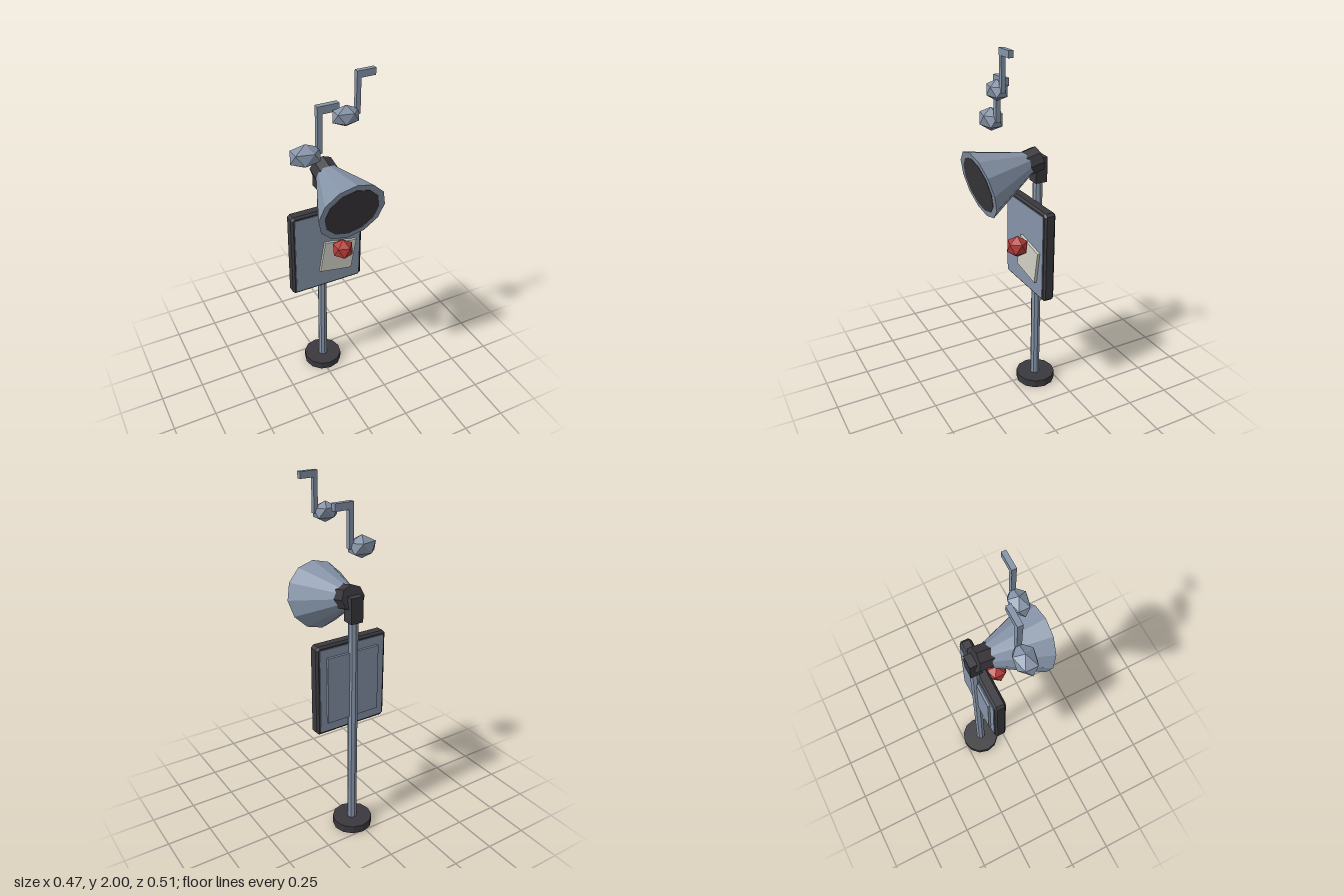
import * as THREE from 'three';
import { ConvexGeometry } from 'three/addons/geometries/ConvexGeometry.js';

const mat = (name, color) => {
  const m = new THREE.MeshStandardMaterial({ color, flatShading: true });
  m.name = name;
  return m;
};

export function createModel() {
  const steel = mat('blue grey steel', 0x8694a8);
  const dark = mat('charcoal', 0x3a383d);
  const red = mat('red', 0xb23c38);
  const paperMat = mat('paper', 0xd0d0c5);

  const model = new THREE.Group();
  model.name = 'noticeBoardWithHorn';
  const CX = 0.021;

  const add = (name, geo, material, x, y, z, parent = model) => {
    const m = new THREE.Mesh(geo, material);
    m.name = name;
    m.position.set(x, y, z);
    parent.add(m);
    return m;
  };
  // box given by its limits
  const box = (name, material, x0, x1, y0, y1, z0, z1, parent) =>
    add(name, new THREE.BoxGeometry(x1 - x0, y1 - y0, z1 - z0), material,
      (x0 + x1) / 2, (y0 + y1) / 2, (z0 + z1) / 2, parent);

  // twenty-sided ball with its poles on y
  const ball = (rx, r) => {
    const pts = [new THREE.Vector3(0, r, 0), new THREE.Vector3(0, -r, 0)];
    for (let i = 0; i < 10; i++) {
      const a = (i * Math.PI) / 5;
      const h = i % 2 ? -0.4472 : 0.4472;
      pts.push(new THREE.Vector3(0.8944 * rx * Math.cos(a), h * r, 0.8944 * r * Math.sin(a)));
    }
    return new ConvexGeometry(pts);
  };

  // base and pole
  add('base', new THREE.CylinderGeometry(0.113, 0.113, 0.045, 12), dark, CX, 0.0225, -0.143);
  add('pole', new THREE.CylinderGeometry(0.027, 0.027, 1.28, 8), steel, CX, 0.68, -0.14);

  // board frame with chamfered edges
  const w = 0.205, h = 0.247, c = 0.008, bevel = 0.011;
  const outline = new THREE.Shape([
    [-w + c, -h], [w - c, -h], [w, -h + c], [w, h - c],
    [w - c, h], [-w + c, h], [-w, h - c], [-w, -h + c],
  ].map(([x, y]) => new THREE.Vector2(x, y)));
  const frameGeo = new THREE.ExtrudeGeometry(outline, {
    depth: 0.043, bevelEnabled: true, bevelSegments: 1, bevelSize: bevel, bevelThickness: bevel,
  });
  add('boardFrame', frameGeo, dark, CX, 0.909, -0.119);
  box('boardPanel', steel, CX - 0.197, CX + 0.197, 0.67, 1.148, -0.134, -0.062);
  box('backPanel', steel, CX - 0.158, CX + 0.158, 0.72, 1.1, -0.147, -0.13);

  // pinned note and its pin
  const note = add('note', new THREE.BoxGeometry(0.197, 0.19, 0.016), paperMat, 0.079, 0.852, -0.055);
  note.rotation.z = -0.17;
  add('pin', ball(0.062, 0.062), red, 0.075, 0.939, 0.012);

  // pole head holding the horn
  box('poleHead', dark, CX - 0.036, CX + 0.036, 1.27, 1.41, -0.177, -0.11);

  // horn, built along +z from its mouth and tilted downward
  const horn = new THREE.Group();
  horn.name = 'horn';
  horn.position.set(CX, 1.309, 0.209);
  horn.rotation.x = 0.25;
  model.add(horn);
  const alongZ = (g, z) => g.rotateX(Math.PI / 2).translate(0, 0, z);
  add('hornCone', alongZ(new THREE.CylinderGeometry(0.187, 0.045, 0.335, 12), -0.1675), steel, 0, 0, 0, horn);
  add('hornMouth', alongZ(new THREE.CylinderGeometry(0.153, 0.153, 0.004, 12), 0), dark, 0, 0, 0, horn);
  add('hornCollar', alongZ(new THREE.CylinderGeometry(0.069, 0.069, 0.105, 8), -0.307), dark, 0, 0, 0, horn);

  // floating music notes
  const musicNote = (name, s, bx, by, z, stemX, tipX, topY) => {
    const g = new THREE.Group();
    g.name = name;
    model.add(g);
    const t = 0.027 * s;
    add('noteHead', ball(0.091 * s, 0.064 * s), steel, bx, by, z, g);
    box('noteStem', steel, stemX, stemX + t, by, topY - 0.041 * s, z - t / 2, z + t / 2, g);
    box('noteFlag', steel, stemX, tipX, topY - 0.041 * s, topY, z - t / 2 - 0.001, z + t / 2 + 0.001, g);
  };
  musicNote('lowerMusicNote', 1, -0.155, 1.59, 0.046, -0.095, 0.02, 1.837);
  musicNote('upperMusicNote', 0.85, 0.032, 1.787, 0.104, 0.081, 0.18, 2.0);

  return model;
}
